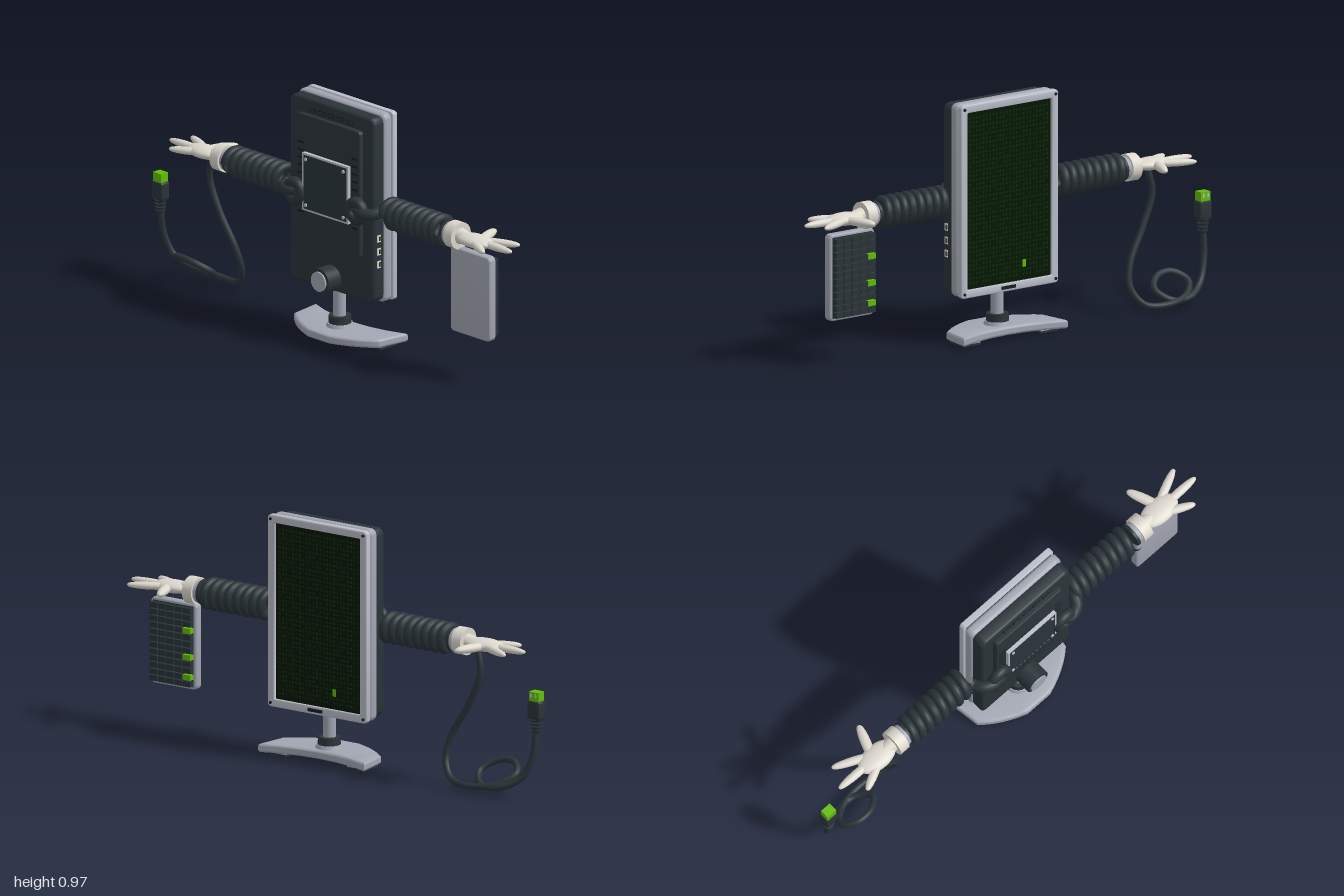
import * as THREE from 'three';
import { mergeGeometries, toCreasedNormals } from 'three/addons/utils/BufferGeometryUtils.js';

const paint = (name, color) => Object.assign(new THREE.MeshStandardMaterial({ color }), { name });
const CX = 0.039; // the screen, stand and arms are symmetric about this x

export function createModel() {
  const dark = paint('dark slate', 0x2a3439);
  const grey = paint('mid grey', 0xa3a7b3);
  const silver = paint('pale silver', 0xbcbfca);
  const glove = paint('glove white', 0xdcd8ce);
  const green = paint('bright green', 0x62bd04);
  const glass = paint('screen green', 0x021602);
  const glyph = paint('dim glyph green', 0x082c06);
  const black = paint('vent black', 0x171c1f);

  const root = new THREE.Group();
  const body = new THREE.Group();
  body.name = 'monitor';
  body.position.x = CX;
  root.add(body);

  const add = (parent, name, geo, mat, x = 0, y = 0, z = 0) => {
    const m = new THREE.Mesh(geo, mat);
    m.name = name;
    m.position.set(x, y, z);
    parent.add(m);
    return m;
  };
  const box = (w, h, d, x = 0, y = 0, z = 0) => new THREE.BoxGeometry(w, h, d).translate(x, y, z);
  const cyl = (r1, r2, h, n = 32) => new THREE.CylinderGeometry(r1, r2, h, n);
  const cylZ = (r, h, n = 32) => cyl(r, r, h, n).rotateX(Math.PI / 2);
  const cylX = (r, h) => cyl(r, r, h).rotateZ(-Math.PI / 2);

  const roundRect = (w, h, r, Type = THREE.Shape) => {
    const s = new Type(), a = w / 2 - r, b = h / 2 - r;
    s.absarc(a, b, r, 0, Math.PI / 2);
    s.absarc(-a, b, r, Math.PI / 2, Math.PI);
    s.absarc(-a, -b, r, Math.PI, Math.PI * 1.5);
    s.absarc(a, -b, r, Math.PI * 1.5, Math.PI * 2);
    s.closePath();
    return s;
  };
  // Extrusion of total depth d with a rounded rim, centred on z
  const slab = (shape, d, bevel) => toCreasedNormals(new THREE.ExtrudeGeometry(shape, {
    depth: d - 2 * bevel, bevelThickness: bevel, bevelSize: bevel, bevelOffset: -bevel, bevelSegments: 3, curveSegments: 6,
  }).translate(0, 0, bevel - d / 2), 0.6);

  // Housing
  add(body, 'darkShell', slab(roundRect(0.472, 0.765, 0.03), 0.06, 0.012), dark, 0, 0.583, 0.027);
  add(body, 'greyRim', slab(roundRect(0.48, 0.78, 0.025), 0.042, 0.01), grey, 0, 0.583, -0.019);
  add(body, 'screenCore', box(0.45, 0.75, 0.02), dark, 0, 0.583, -0.045);
  const frame = roundRect(0.48, 0.78, 0.015);
  frame.holes.push(roundRect(0.415, 0.715, 0.005, THREE.Path));
  add(body, 'bezel', slab(frame, 0.027, 0.005), silver, 0, 0.583, -0.0575);

  // Screen with rows of dim characters and a cursor
  add(body, 'screen', box(0.42, 0.72, 0.004), glass, 0, 0.583, -0.058);
  const marks = [];
  for (let r = 0; r < 38; r++) for (let c = 0; c < 24; c++)
    if ((r * 7 + c * 5 + r * c) % 4) marks.push(box(0.008, 0.009, 0.001, -0.19 + c * 0.0165, 0.25 + r * 0.018, -0.0603));
  add(body, 'screenCharacters', mergeGeometries(marks), glyph);
  add(body, 'cursor', box(0.016, 0.03, 0.002), green, -0.077, 0.293, -0.061);
  add(body, 'controlStrip', box(0.07, 0.013, 0.004), black, 0.008, 0.21, -0.072);
  for (const x of [-1, 1]) for (const y of [0.21, 0.956])
    add(body, 'bezelScrew', cylZ(0.006, 0.005, 12), black, x * 0.225, y, -0.0725);

  // Rear panel, mounting plate and vents
  add(body, 'rearPanel', slab(roundRect(0.355, 0.525, 0.015), 0.024, 0.006), dark, 0, 0.642, 0.066);
  add(body, 'mountBorder', box(0.256, 0.238, 0.016), silver, 0, 0.633, 0.085);
  add(body, 'mountPlate', box(0.24, 0.222, 0.004), dark, 0, 0.633, 0.0925);
  for (const x of [-1, 1]) for (const y of [-1, 1])
    add(body, 'mountScrew', cylZ(0.007, 0.006, 12), silver, x * 0.105, 0.633 + y * 0.095, 0.0965);
  for (let i = -2; i <= 2; i++) {
    add(body, 'topVent', box(0.036, 0.014, 0.008), black, i * 0.052, 0.925, 0.058);
    add(body, 'topVentLip', box(0.028, 0.005, 0.012), dark, i * 0.052, 0.925, 0.059);
  }
  for (const s of [-1, 1]) for (let i = 0; i < 10; i++)
    add(body, 'sideVent', box(0.032, 0.008, 0.006), black, s * 0.15, 0.5 + i * 0.032, 0.077);

  // Ports on the side
  for (const y of [0.36, 0.413, 0.467]) {
    add(body, 'portFrame', box(0.008, 0.029, 0.018), glove, 0.235, y, 0.03);
    add(body, 'portOpening', box(0.003, 0.017, 0.01), black, 0.2385, y, 0.027);
    add(body, 'portTongue', box(0.003, 0.012, 0.003), green, 0.2395, y, 0.026);
  }

  // Stand
  add(body, 'hinge', cylZ(0.053, 0.08), dark, 0, 0.254, 0.085);
  add(body, 'hingeCap', cylZ(0.04, 0.012), grey, 0, 0.254, 0.126);
  add(body, 'pole', cyl(0.026, 0.026, 0.19), grey, 0, 0.155, 0.013);
  add(body, 'poleCollar', cyl(0.044, 0.046, 0.032), dark, 0, 0.074, 0.011);
  add(body, 'poleRing', cyl(0.05, 0.056, 0.016), grey, 0, 0.052, 0.011);
  const foot = new THREE.Shape();
  foot.moveTo(-0.257, -0.11);
  foot.quadraticCurveTo(0, -0.01, 0.257, -0.11);
  foot.lineTo(0.238, 0.03);
  foot.quadraticCurveTo(0.17, 0.095, 0.06, 0.132);
  foot.lineTo(-0.06, 0.132);
  foot.quadraticCurveTo(-0.17, 0.095, -0.238, 0.03);
  foot.closePath();
  add(body, 'base', slab(foot, 0.036, 0.011).rotateX(Math.PI / 2), grey, 0, 0.028, 0);
  for (const s of [-1, 1]) {
    add(body, 'footBlock', box(0.08, 0.01, 0.09), grey, s * 0.19, 0.01, -0.03);
    add(body, 'footPad', box(0.084, 0.008, 0.094), dark, s * 0.19, 0.004, -0.03);
  }

  // Arms: the left one is the right one turned half round the z axis
  class Coil extends THREE.Curve {
    getPoint(t, v = new THREE.Vector3()) {
      const a = t * Math.PI * 2 * 8;
      return v.set(0.279 + t * 0.316, 0.048 * Math.sin(a), 0.048 * Math.cos(a));
    }
  }
  const V = (x, y, z) => new THREE.Vector3(x, y, z);
  // Round-ended digit lying between two points of the xz plane
  const finger = (x1, z1, x2, z2, r) => {
    const l = Math.hypot(x2 - x1, z2 - z1), n = 10;
    const pts = [];
    for (let i = 0; i <= n; i++) {
      const a = -Math.PI / 2 + i * Math.PI / n;
      pts.push(new THREE.Vector2(r * Math.pow(Math.max(Math.cos(a), 0), 0.75), Math.sin(a) * l / 2));
    }
    return new THREE.LatheGeometry(pts, 18).rotateZ(-Math.PI / 2).scale(1, 0.85, 1)
      .rotateY(-Math.atan2(z2 - z1, x2 - x1)).translate((x1 + x2) / 2, 0, (z1 + z2) / 2);
  };
  for (const s of [1, -1]) {
    const arm = new THREE.Group();
    arm.name = s > 0 ? 'leftArm' : 'rightArm';
    arm.position.y = 0.581;
    if (s < 0) arm.rotation.z = Math.PI;
    body.add(arm);
    add(arm, 'shoulderRing', new THREE.TorusGeometry(0.036, 0.022, 14, 28), dark, 0.172, 0, 0.09);
    const bend = new THREE.CatmullRomCurve3([V(0.17, 0, 0.08), V(0.205, 0, 0.098), V(0.25, 0, 0.08), V(0.27, 0.01, 0.045), V(0.279, 0, 0.03)]);
    add(arm, 'shoulderTube', new THREE.TubeGeometry(bend, 24, 0.024, 14), dark);
    add(arm, 'coiledSleeve', new THREE.TubeGeometry(new Coil(), 260, 0.0185, 12), dark, 0, 0, 0.01);
    add(arm, 'sleeveEnd', cylX(0.05, 0.012), dark, 0.607, 0, 0.01);
    add(arm, 'wristRing', cylX(0.046, 0.02), grey, 0.622, 0, 0.01);
    add(arm, 'cuff', cylX(0.055, 0.045), glove, 0.653, 0, 0.01);
    add(arm, 'wrist', cyl(0.022, 0.034, 0.05).rotateZ(-Math.PI / 2), glove, 0.695, 0, 0.01);
    add(arm, 'palm', new THREE.SphereGeometry(1, 28, 18).scale(0.09, 0.025, 0.052), glove, 0.755, 0, 0.01);
    add(arm, 'thumb', finger(0.775, 0.01, 0.718, -0.137, 0.021), glove);
    add(arm, 'indexFinger', finger(0.75, -0.002, 0.918, -0.078, 0.018), glove);
    add(arm, 'middleFinger', finger(0.76, 0.008, 0.956, 0.006, 0.018), glove);
    add(arm, 'littleFinger', finger(0.74, 0.018, 0.88, 0.087, 0.018), glove);
  }

  // Keyboard hanging from the left hand, keys on the back
  const keyboard = new THREE.Group();
  keyboard.name = 'keyboard';
  keyboard.position.set(0.776, 0.357, 0);
  root.add(keyboard);
  add(keyboard, 'keyboardCase', slab(roundRect(0.22, 0.35, 0.018), 0.037, 0.007), grey, 0, 0, 0.0035);
  add(keyboard, 'keyBed', box(0.196, 0.326, 0.006), dark, 0, 0, -0.016);
  const keys = { dark: [], green: [] };
  for (let c = 0; c < 5; c++) for (let r = 0; r < 12; r++) {
    const lit = c === 0 && [1, 4, 8].includes(r);
    keys[lit ? 'green' : 'dark'].push(box(0.036, 0.022, 0.026, -0.08 + c * 0.04, -0.1485 + r * 0.027, -0.027));
  }
  add(keyboard, 'keys', mergeGeometries(keys.dark), dark);
  add(keyboard, 'litKeys', mergeGeometries(keys.green), green);

  // Looped cable and plug hanging from the right hand
  const path = [
    [-0.69, 0.575, 0], [-0.71, 0.47, -0.01], [-0.66, 0.34, -0.015], [-0.585, 0.2, -0.03], [-0.572, 0.11, -0.05],
    [-0.62, 0.042, -0.08], [-0.73, 0.03, -0.095], [-0.84, 0.05, -0.065], [-0.885, 0.09, -0.01], [-0.84, 0.122, 0.035],
    [-0.765, 0.115, 0.03], [-0.715, 0.077, -0.02], [-0.76, 0.038, -0.075], [-0.85, 0.04, -0.075],
    [-0.93, 0.085, -0.035], [-0.965, 0.17, -0.01], [-0.972, 0.28, 0.005],
  ].map(p => V(...p));
  add(root, 'cable', new THREE.TubeGeometry(new THREE.CatmullRomCurve3(path), 180, 0.0135, 12), dark);
  const plug = new THREE.Group();
  plug.name = 'plug';
  plug.position.set(-0.971, 0, 0.005);
  root.add(plug);
  for (let i = 0; i < 4; i++) add(plug, 'strainRelief', cyl(0.02 + i * 0.002, 0.016 + i * 0.002, 0.011, 16), dark, 0, 0.27 + i * 0.015, 0);
  add(plug, 'plugBody', slab(roundRect(0.058, 0.075, 0.008), 0.046, 0.006), dark, 0, 0.358, 0);
  add(plug, 'plugTip', box(0.046, 0.04, 0.038), green, 0, 0.412, 0);
  for (const x of [-1, 1]) add(plug, 'plugContact', box(0.008, 0.016, 0.003), silver, x * 0.011, 0.418, -0.019);

  return root;
}
